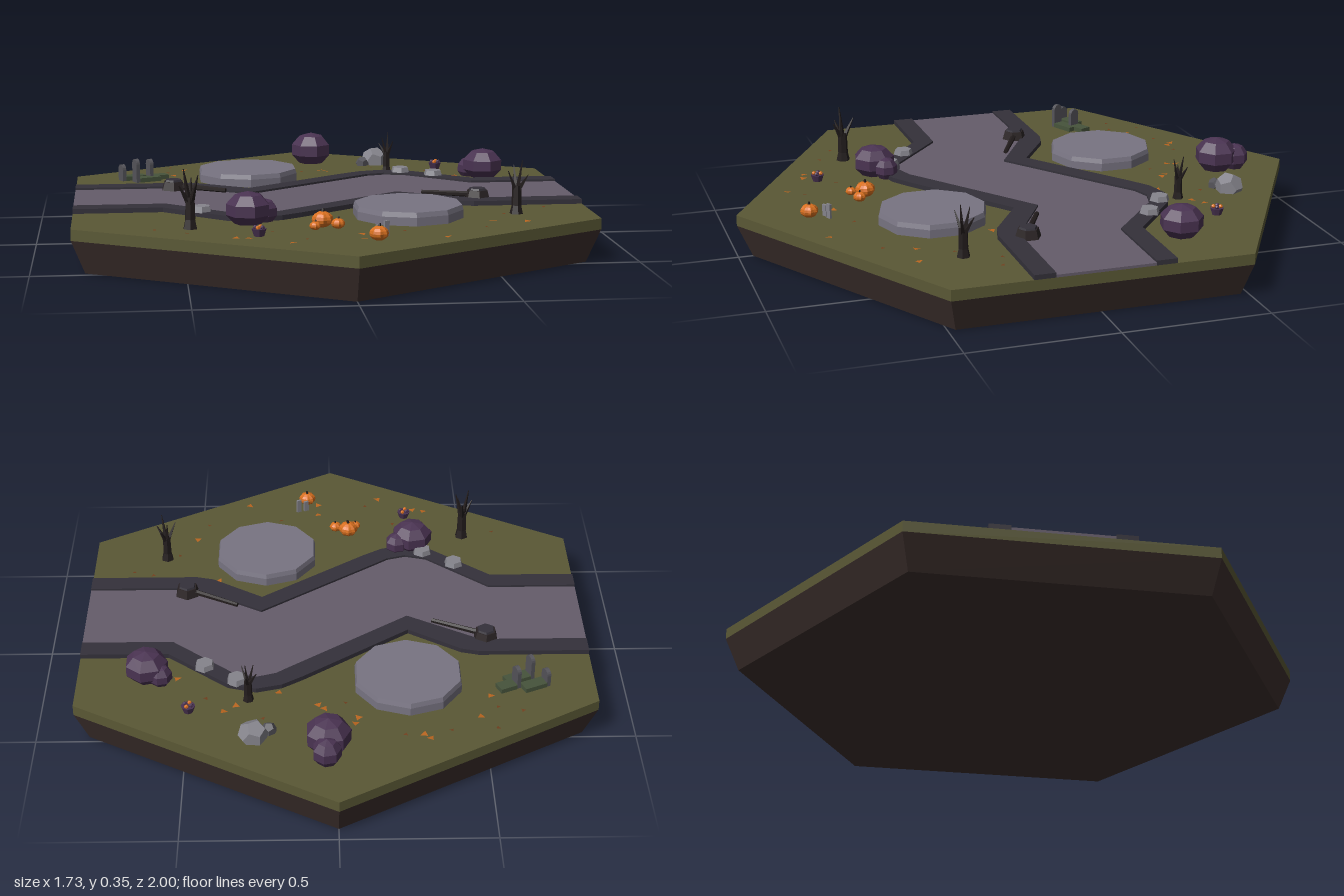
import * as THREE from 'three';

const mat = (color) => new THREE.MeshStandardMaterial({ color, flatShading: true, roughness: 0.9 });
const M = {
  dirt: mat(0x3d302d), grass: mat(0x5a5835), road: mat(0x655c6a), border: mat(0x34313a),
  disc: mat(0x787482), stone: mat(0x85848c), darkStone: mat(0x55545a), bark: mat(0x231d1d),
  bush: mat(0x4a3352), pumpkin: mat(0xd9701f), leaf: mat(0xb9651f), leafBrown: mat(0x70401f),
  moss: mat(0x47543c), wood: mat(0x2b2425),
};
for (const m of [M.leaf, M.leafBrown]) m.side = THREE.DoubleSide;
const GROUND = 0.15;
const UP = new THREE.Vector3(0, 1, 0);

function add(parent, name, geometry, material, x = 0, y = 0, z = 0) {
  const mesh = new THREE.Mesh(geometry, material);
  mesh.name = name;
  mesh.position.set(x, y, z);
  parent.add(mesh);
  return mesh;
}

function group(parent, name, x, y, z) {
  const g = new THREE.Group();
  g.name = name;
  g.position.set(x, y, z);
  parent.add(g);
  return g;
}

// Flat slab from an outline of [x, z] points, its top at y = 0
function slab(points, depth) {
  const shape = new THREE.Shape(points.map(([x, z]) => new THREE.Vector2(x, z)));
  return new THREE.ExtrudeGeometry(shape, { depth, bevelEnabled: false }).rotateX(Math.PI / 2);
}

// Tapered limb between two points
function limb(parent, name, a, b, r0, r1, material, sides = 5) {
  const from = new THREE.Vector3(...a), dir = new THREE.Vector3(...b).sub(from);
  const mesh = add(parent, name, new THREE.CylinderGeometry(r1, r0, dir.length(), sides), material);
  mesh.position.copy(from).addScaledVector(dir, 0.5);
  mesh.quaternion.setFromUnitVectors(UP, dir.normalize());
}

function deadTree(parent, x, z, height, turn) {
  const g = group(parent, 'deadTree', x, GROUND, z);
  g.rotation.y = turn;
  const s = height / 0.19;
  g.scale.setScalar(s);
  limb(g, 'trunkFoot', [0, 0, 0], [0, 0.03, 0], 0.024, 0.017, M.bark, 6);
  limb(g, 'trunk', [0, 0.03, 0], [0, 0.1, 0], 0.018, 0.016, M.bark, 6);
  const tips = [[-0.02, 0.19, 0.005], [0.025, 0.17, 0.01], [0.005, 0.155, -0.04], [-0.035, 0.14, 0.02], [0.015, 0.14, 0.035]];
  tips.forEach((t) => limb(g, 'branch', [t[0] * 0.15, 0.085, t[2] * 0.15], t, 0.01, 0.0015, M.bark, 4));
}

function blob(parent, name, x, z, r, top, material, turn) {
  const half = Math.min(r, (top - GROUND + 0.012) / 2);
  const b = add(parent, name, new THREE.SphereGeometry(r, 7, 5), material, x, top - half, z);
  b.scale.y = half / r;
  b.rotation.y = turn;
}

function pumpkin(parent, x, z, r) {
  const g = group(parent, 'pumpkin', x, GROUND + r * 0.75, z);
  const geo = new THREE.SphereGeometry(r, 16, 8);
  const p = geo.attributes.position;
  // Pinch alternate meridians to form ribs
  for (let i = 0; i < p.count; i++) {
    const k = i % 17 % 2 ? 0.9 : 1.03;
    p.setXYZ(i, p.getX(i) * k, p.getY(i) * 0.78, p.getZ(i) * k);
  }
  add(g, 'pumpkinBody', geo, M.pumpkin);
  limb(g, 'pumpkinStem', [0, r * 0.65, 0], [r * 0.1, r * 1.05, 0], r * 0.18, r * 0.12, M.bark);
}

function grave(parent, x, z, height, length) {
  const g = group(parent, 'grave', x, GROUND, z);
  g.rotation.y = 0.42;
  const w = 0.019;
  const face = new THREE.Shape();
  face.moveTo(-w, 0).lineTo(w, 0).lineTo(w, height - w).absarc(0, height - w, w, 0, Math.PI, false);
  const stone = new THREE.ExtrudeGeometry(face, { depth: 0.014, bevelEnabled: false, curveSegments: 4 });
  add(g, 'headstone', stone.rotateY(Math.PI / 2), M.darkStone, -0.007);
  add(g, 'graveMound', new THREE.BoxGeometry(length, 0.016, 0.042), M.moss, length / 2 + 0.007, 0.008, 0);
}

export function createModel() {
  const model = new THREE.Group();
  model.name = 'hexagonTile';

  // Tapered earth and grass layer
  add(model, 'earthBase', new THREE.CylinderGeometry(1, 0.95, 0.113, 6), M.dirt, 0, 0.0565, 0);
  add(model, 'grassLayer', new THREE.CylinderGeometry(1, 1, 0.037, 6), M.grass, 0, 0.1315, 0);

  // Winding road: the far edge turned half round gives the near edge
  const inner = [[-0.866, -0.165], [-0.5, -0.165], [-0.254, -0.02], [0.153, -0.315], [0.2, -0.35],
    [0.265, -0.37], [0.34, -0.35], [0.555, -0.165], [0.866, -0.165]];
  const outer = [[-0.866, -0.236], [-0.49, -0.236], [-0.43, -0.22], [-0.254, -0.105], [0.11, -0.37],
    [0.18, -0.415], [0.265, -0.437], [0.36, -0.41], [0.566, -0.236], [0.866, -0.236]];
  const opposite = inner.map(([x, z]) => [-x, -z]);
  add(model, 'road', slab([...inner, ...opposite], 0.01), M.road, 0, 0.159, 0);

  for (const side of [1, -1]) {
    const half = group(model, side > 0 ? 'backRoadside' : 'frontRoadside', 0, 0, 0);
    if (side < 0) half.rotation.y = Math.PI;
    add(half, 'roadBorder', slab([...outer, ...[...inner].reverse()], 0.017), M.border, 0, 0.166, 0);
    // Raised building plot
    add(half, 'plotBase', new THREE.CylinderGeometry(0.185, 0.185, 0.028, 10), M.disc, -0.24, 0.164, -0.385);
    add(half, 'plotTop', new THREE.CylinderGeometry(0.18, 0.185, 0.016, 10), M.disc, -0.24, 0.186, -0.385);
    // Stepping stones on the bend
    for (const [x, z] of [[0.33, -0.39], [0.44, -0.31]])
      add(half, 'steppingStone', new THREE.CylinderGeometry(0.03, 0.036, 0.02, 6), M.stone, x, 0.174, z);
    // Stump with a fallen log
    const stump = group(half, 'stump', -0.52, 0.159, -0.143);
    add(stump, 'stumpBody', new THREE.CylinderGeometry(0.036, 0.045, 0.03, 6), M.wood, 0, 0.015, 0);
    add(stump, 'stumpTop', new THREE.CylinderGeometry(0.029, 0.032, 0.007, 6), M.border, 0, 0.033, 0);
    limb(half, 'fallenLog', [-0.49, 0.172, -0.13], [-0.34, 0.168, -0.053], 0.01, 0.008, M.bark, 6);
  }

  // Bare trees
  deadTree(model, -0.485, 0.525, 0.195, 0);
  deadTree(model, 0.605, 0.385, 0.18, 2.2);
  deadTree(model, 0.29, -0.475, 0.15, 4);

  // Bushes, each with a smaller companion
  const bushes = [[0.03, -0.73, 0.078, 0.268], [0.035, -0.8, 0.05, 0.24], [0.632, -0.345, 0.076, 0.256],
    [0.585, -0.375, 0.042, 0.22], [-0.295, 0.455, 0.076, 0.256], [-0.237, 0.425, 0.042, 0.225]];
  bushes.forEach(([x, z, r, top], i) => blob(model, 'bush', x, z, r, top, M.bush, i * 0.9));

  // Rocks
  add(model, 'rock', new THREE.DodecahedronGeometry(0.05), M.stone, 0.27, 0.165, -0.675).rotation.y = 0.5;
  add(model, 'smallRock', new THREE.DodecahedronGeometry(0.026), M.darkStone, 0.22, 0.158, -0.645);

  // Pumpkins
  for (const [x, z, r] of [[-0.062, 0.543, 0.034], [-0.015, 0.573, 0.022], [-0.09, 0.587, 0.018], [0.09, 0.77, 0.03]])
    pumpkin(model, x, z, r);

  // Little bowls filled with round treats
  for (const [x, z] of [[0.485, -0.535], [-0.275, 0.665]]) {
    const bowl = group(model, 'treatBowl', x, GROUND, z);
    add(bowl, 'bowl', new THREE.CylinderGeometry(0.024, 0.016, 0.024, 8), M.bush, 0, 0.012, 0);
    for (let i = 0; i < 4; i++) {
      const a = i * Math.PI / 2 + 0.4;
      add(bowl, 'treat', new THREE.IcosahedronGeometry(0.008), i % 2 ? M.pumpkin : M.bush,
        Math.cos(a) * 0.012, 0.028, Math.sin(a) * 0.012);
    }
  }

  // Graves and two small markers
  grave(model, -0.7, -0.4, 0.06, 0.08);
  grave(model, -0.65, -0.36, 0.086, 0.085);
  grave(model, -0.6, -0.41, 0.077, 0.06);
  for (const [x, z, h] of [[0.095, 0.718, 0.04], [0.122, 0.71, 0.05]]) {
    const marker = add(model, 'graveMarker', new THREE.BoxGeometry(0.018, h, 0.008), M.stone, x, GROUND + h / 2, z);
    marker.rotation.y = 0.5;
  }

  // Fallen leaves
  const orange = [[-0.3, -0.69], [-0.28, -0.67], [-0.47, -0.58], [-0.51, -0.47], [-0.07, -0.58], [-0.06, -0.61],
    [0.06, -0.51], [0.04, -0.53], [0.19, -0.44], [0.33, -0.51], [0.37, -0.54], [0.53, -0.36], [0.5, 0.51],
    [0.61, 0.53], [0.41, 0.23], [0.31, 0.75], [0.05, 0.68], [0.05, 0.75], [-0.35, 0.7], [-0.31, 0.71], [-0.18, 0.79]];
  const brown = [[-0.37, -0.65], [-0.22, -0.67], [-0.52, -0.64], [-0.53, -0.53], [-0.61, -0.55], [-0.03, -0.5],
    [0.24, -0.58], [0.43, -0.47], [0.72, 0.29], [0.65, 0.27], [0.56, 0.4], [0.46, 0.61], [-0.23, 0.61],
    [-0.6, 0.55], [-0.5, 0.61], [-0.13, 0.74], [0.19, 0.64]];
  const leaves = group(model, 'fallenLeaves', 0, GROUND + 0.003, 0);
  for (const [spots, material, size] of [[orange, M.leaf, 0.015], [brown, M.leafBrown, 0.009]])
    spots.forEach(([x, z], i) => {
      const geo = new THREE.CircleGeometry(size, 3).rotateX(-Math.PI / 2 + 0.12).rotateY(i * 2.4);
      add(leaves, 'leaf', geo, material, x, 0, z);
    });

  return model;
}
